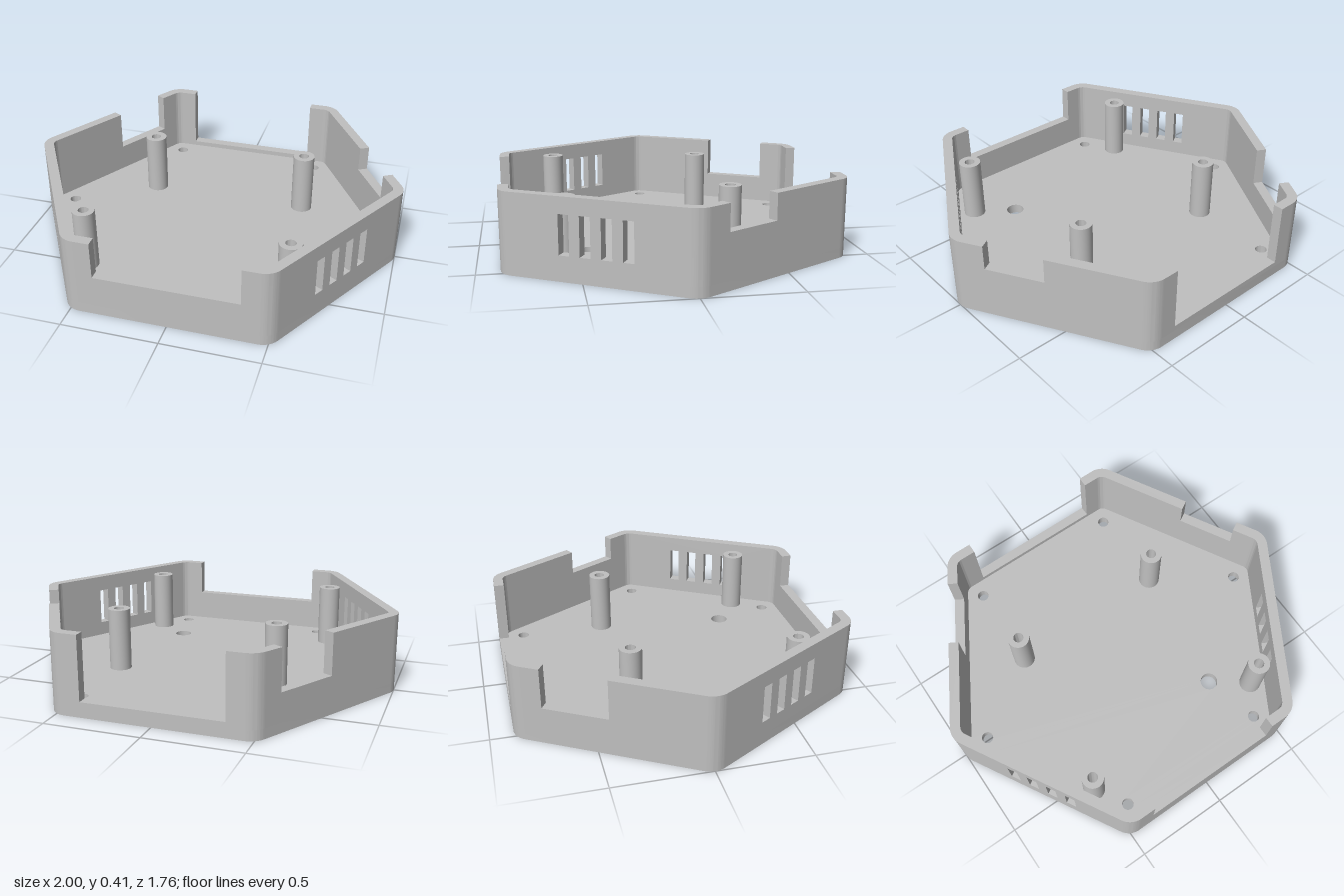
import * as THREE from 'three';
import { toCreasedNormals } from 'three/addons/utils/BufferGeometryUtils.js';

const HEIGHT = 0.415, FLOOR = 0.053;
const OUTER = 0.88, WALL = 0.053;              // hexagon apothem and wall thickness
const R_OUT = 0.1, R_IN = R_OUT - WALL;        // corner radii
const CORNER = (OUTER - R_OUT) / Math.cos(Math.PI / 6); // distance of corner centres
const HALF = CORNER / 2;                       // half length of a straight wall
const SIXTH = Math.PI / 3;

// Removes triangles whose centre passes the test (hidden joint faces)
function dropFaces(geometry, test) {
  const geo = geometry.index ? geometry.toNonIndexed() : geometry;
  const p = geo.attributes.position, kept = [];
  const v = [0, 1, 2].map(() => new THREE.Vector3()), c = new THREE.Vector3();
  for (let i = 0; i < p.count; i += 3) {
    v.forEach((a, j) => a.fromBufferAttribute(p, i + j));
    c.copy(v[0]).add(v[1]).add(v[2]).divideScalar(3);
    if (!test(c)) v.forEach(a => kept.push(a.x, a.y, a.z));
  }
  const out = new THREE.BufferGeometry();
  out.setAttribute('position', new THREE.Float32BufferAttribute(kept, 3));
  out.computeVertexNormals();
  return out;
}

const extrude = (shape, depth) =>
  new THREE.ExtrudeGeometry(shape, { depth, bevelEnabled: false, curveSegments: 12 });

// Base plate with screw holes and a cable hole
function floorGeometry() {
  const shape = new THREE.Shape();
  for (let k = 0; k < 6; k++) {
    const a = k * SIXTH;
    shape.absarc(CORNER * Math.cos(a), CORNER * Math.sin(a), R_OUT, a - SIXTH / 2, a + SIXTH / 2);
  }
  const hole = (x, z, r) =>
    shape.holes.push(new THREE.Path().absarc(x, -z, r, 0, Math.PI * 2, true));
  for (let k = 0; k < 6; k++) hole(0.853 * Math.cos(k * SIXTH), 0.853 * Math.sin(k * SIXTH), 0.031);
  hole(0.345, 0.435, 0.047);
  return toCreasedNormals(extrude(shape, FLOOR).rotateX(-Math.PI / 2), 0.6);
}

// Straight wall: optional notch [from, to, sill height], optional vent slots
function panelGeometry({ notch, vents }) {
  const top = HEIGHT - FLOOR;
  const pts = [[-HALF, 0], [HALF, 0], [HALF, top]];
  if (notch) {
    const [a, b, sill] = notch, y = sill - FLOOR;
    pts.push([b, top], [b, y], [a, y], [a, top]);
  }
  pts.push([-HALF, top]);
  const shape = new THREE.Shape(pts.map(p => new THREE.Vector2(...p)));
  if (vents) {
    for (let i = 0; i < 4; i++) {
      const x = (i - 1.5) * 0.109, w = 0.0275, y0 = 0.13 - FLOOR, y1 = 0.33 - FLOOR;
      shape.holes.push(new THREE.Path([[x - w, y0], [x - w, y1], [x + w, y1], [x + w, y0]]
        .map(p => new THREE.Vector2(...p))));
    }
  }
  return dropFaces(extrude(shape, WALL), c => Math.abs(c.x) > HALF - 1e-4 || c.y < 1e-4)
    .translate(0, FLOOR, OUTER - WALL);
}

// Rounded wall corner
function cornerGeometry() {
  const h = SIXTH / 2, shape = new THREE.Shape();
  shape.absarc(0, 0, R_OUT, -h, h);
  shape.absarc(0, 0, R_IN, h, -h, true);
  const geo = dropFaces(extrude(shape, HEIGHT - FLOOR),
    c => c.z < 1e-4 || Math.abs(Math.atan2(c.y, c.x)) > h - 1e-4);
  return toCreasedNormals(geo.rotateX(-Math.PI / 2).translate(CORNER, FLOOR, 0), 0.6);
}

// Hollow standoff
function postGeometry() {
  const profile = [[0.058, FLOOR], [0.058, 0.385], [0.027, 0.385], [0.027, FLOOR]]
    .map(p => new THREE.Vector2(...p));
  return toCreasedNormals(new THREE.LatheGeometry(profile, 32), 0.6);
}

export function createModel() {
  const group = new THREE.Group();
  group.name = 'hexagonalEnclosure';
  const grey = new THREE.MeshStandardMaterial({ color: 0xc0c0c0 });
  grey.name = 'lightGrey';
  const add = (name, geo) => {
    const mesh = new THREE.Mesh(geo, grey);
    mesh.name = name;
    group.add(mesh);
    return mesh;
  };

  add('floor', floorGeometry());

  // Walls, going round from the front towards +x
  const walls = [
    ['frontWall', { notch: [-0.367, 0.367, 0.22] }],
    ['frontLeftWall', { vents: true }],
    ['backLeftWall', { notch: [-0.335, -0.027, 0.28] }],
    ['backWall', { notch: [-0.367, 0.367, 0.08] }],
    ['backRightWall', { notch: [-0.35, -0.01, 0.2] }],
    ['frontRightWall', { vents: true }],
  ];
  const corner = cornerGeometry();
  walls.forEach(([name, options], k) => {
    add(name, panelGeometry(options)).rotation.y = k * SIXTH;
    add('corner' + (k + 1), corner).rotation.y = k * SIXTH;
  });

  // Standoffs
  const post = postGeometry();
  for (const side of [1, -1]) {
    add('backPost', post).position.set(side * 0.435, 0, -0.275);
    add('frontPost', post).position.set(side * 0.53, 0, 0.57);
  }
  return group;
}
